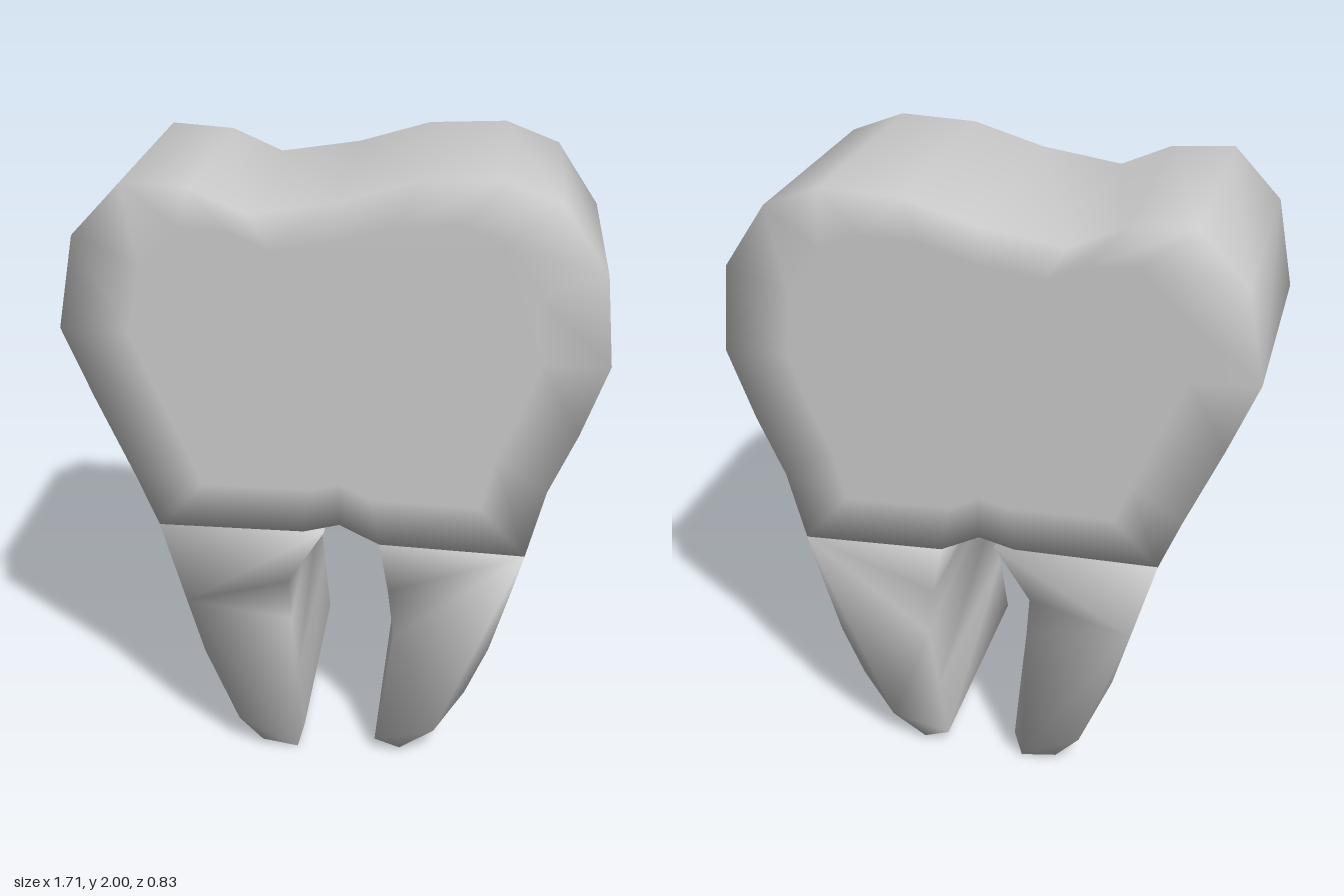
import * as THREE from 'three';

const material = new THREE.MeshStandardMaterial({ color: 0xcccccc, side: THREE.DoubleSide });

// Slab between z = -half and +half with shared vertices, so shading rolls softly over the rims.
// inset adds a smaller ring inside each cap that keeps the middle of the cap flat.
function softSlab(name, outline, half, inset) {
  const pts = outline.map(([x, y]) => new THREE.Vector2(x, y));
  if (THREE.ShapeUtils.isClockWise(pts)) pts.reverse();
  const n = pts.length;
  const centre = pts.reduce((sum, p) => sum.add(p), new THREE.Vector2()).divideScalar(n);
  const rings = [pts];
  if (inset) rings.push(pts.map((p) => p.clone().lerp(centre, 1 - inset)));

  const positions = [];
  for (const z of [half, -half]) {
    for (const ring of rings) for (const p of ring) positions.push(p.x, p.y, z);
  }
  const index = [];
  const quad = (a, b, c, d) => index.push(a, b, c, a, c, d);
  const back = n * rings.length; // first vertex of the back cap
  const inner = n * (rings.length - 1); // first vertex of the innermost front ring

  for (let i = 0; i < n; i++) {
    const j = (i + 1) % n;
    quad(i, back + i, back + j, j); // side wall
    if (inset) {
      quad(i, j, n + j, n + i); // cap borders
      quad(back + j, back + i, back + n + i, back + n + j);
    }
  }
  // Cap centres
  for (const [a, b, c] of THREE.ShapeUtils.triangulateShape(rings[rings.length - 1], [])) {
    index.push(inner + a, inner + b, inner + c);
    index.push(back + inner + c, back + inner + b, back + inner + a);
  }

  const geometry = new THREE.BufferGeometry();
  geometry.setAttribute('position', new THREE.Float32BufferAttribute(positions, 3));
  geometry.setIndex(index);
  geometry.computeVertexNormals();
  const mesh = new THREE.Mesh(geometry, material);
  mesh.name = name;
  return mesh;
}

export function createModel() {
  const tooth = new THREE.Group();
  tooth.name = 'tooth';

  // Crown with two cusps and an arched underside
  tooth.add(softSlab('crown', [
    [-0.57, 0.83], [-0.64, 1.0], [-0.76, 1.27], [-0.855, 1.5], [-0.8, 1.8],
    [-0.64, 1.97], [-0.43, 1.955], [-0.26, 1.88], [0.01, 1.92], [0.25, 1.99],
    [0.51, 2.0], [0.69, 1.93], [0.83, 1.72], [0.855, 1.43], [0.77, 1.2],
    [0.68, 1.0], [0.62, 0.77], [0.15, 0.79], [0.02, 0.855], [-0.1, 0.825],
  ], 0.415, 0.75));

  // Tapering, curved roots
  tooth.add(softSlab('rightRoot', [
    [-0.57, 0.83], [-0.03, 0.825], [-0.15, 0.64], [-0.14, 0.5], [-0.12, 0.3],
    [-0.1, 0.09], [-0.125, 0.0], [-0.245, 0.02], [-0.325, 0.1], [-0.435, 0.36],
    [-0.49, 0.55],
  ], 0.416));
  tooth.add(softSlab('leftRoot', [
    [0.15, 0.79], [0.62, 0.77], [0.57, 0.6], [0.515, 0.42], [0.44, 0.25],
    [0.34, 0.09], [0.225, 0.015], [0.14, 0.045], [0.17, 0.25], [0.2, 0.45],
    [0.18, 0.62],
  ], 0.416));

  return tooth;
}
